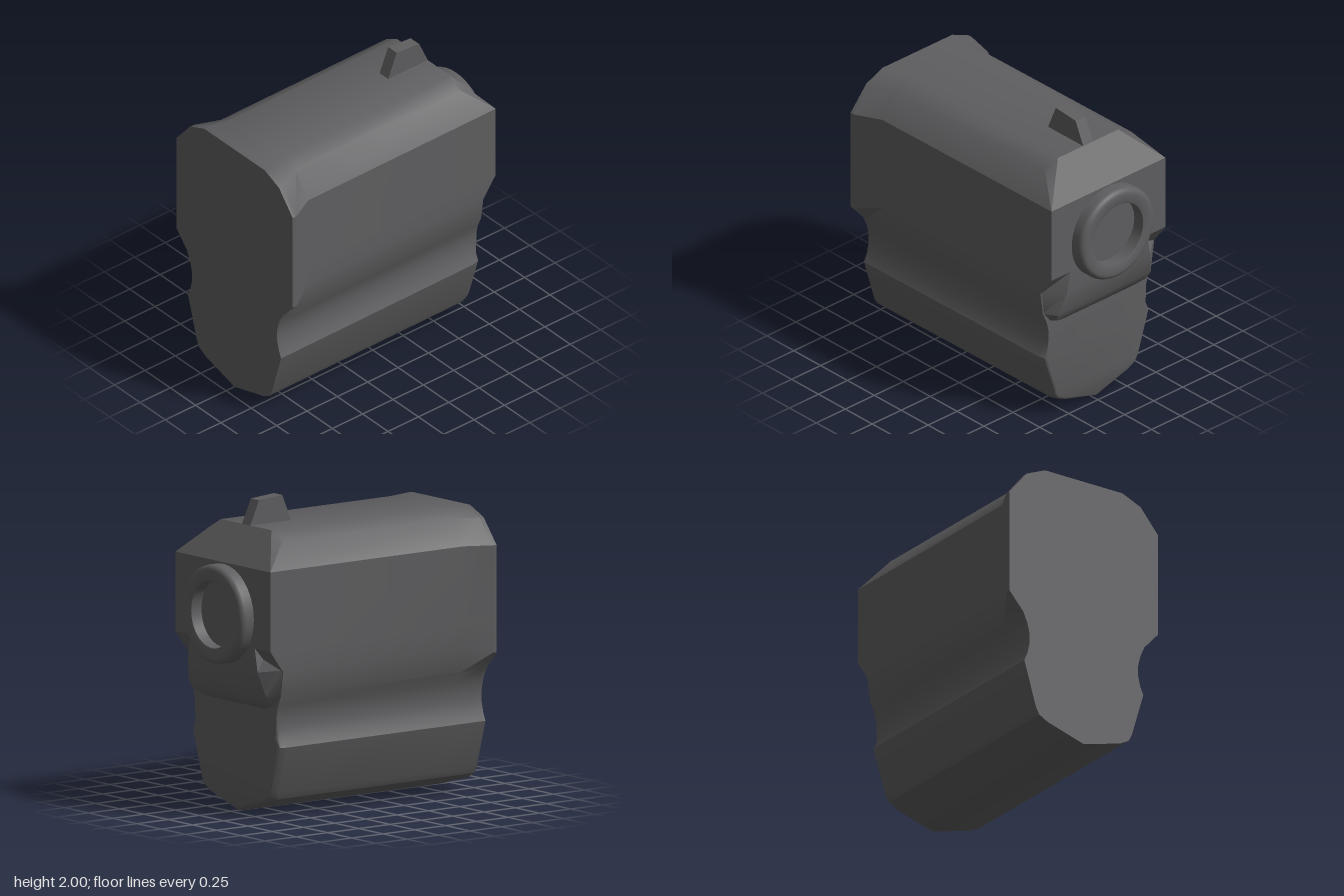
import * as THREE from 'three';
import { toCreasedNormals } from 'three/addons/utils/BufferGeometryUtils.js';

// Slight sideways drift of the body towards the muzzle
const drift = (x) => -0.011 * (x + 0.93);

// Loft mirrored half sections (each point [x, y, halfWidth], top to bottom) along +x.
// skip: row left out of the front cap and covered by small corner triangles.
function loft(sections, skip = -1) {
  const out = [];
  const L = (p) => new THREE.Vector3(p[0], p[1], p[2] + drift(p[0]));
  const R = (p) => new THREE.Vector3(p[0], p[1], -p[2] + drift(p[0]));
  const tri = (a, b, c) => {
    const n = b.clone().sub(a).cross(c.clone().sub(a));
    if (n.length() > 1e-7) out.push(...a.toArray(), ...b.toArray(), ...c.toArray());
  };
  const quad = (a, b, c, d) => { tri(a, b, d); tri(b, c, d); };
  const last = sections[0].length - 1;
  for (let s = 0; s < sections.length - 1; s++) {
    const A = sections[s], B = sections[s + 1];
    for (let i = 0; i < last; i++) {
      quad(L(A[i]), L(A[i + 1]), L(B[i + 1]), L(B[i]));
      quad(R(A[i + 1]), R(A[i]), R(B[i]), R(B[i + 1]));
    }
    quad(R(A[0]), L(A[0]), L(B[0]), R(B[0]));
    quad(L(A[last]), R(A[last]), R(B[last]), L(B[last]));
  }
  // End caps as strips between mirrored points
  const back = sections[0], front = sections[sections.length - 1];
  for (let i = 0; i < last; i++) {
    quad(R(back[i]), R(back[i + 1]), L(back[i + 1]), L(back[i]));
  }
  const rows = front.filter((_, i) => i !== skip);
  for (let i = 0; i < rows.length - 1; i++) {
    quad(L(rows[i]), L(rows[i + 1]), R(rows[i + 1]), R(rows[i]));
  }
  if (skip > 0) {
    const [a, b, c] = [front[skip - 1], front[skip], front[skip + 1]];
    tri(L(a), L(b), L(c));
    tri(R(c), R(b), R(a));
  }
  const geo = new THREE.BufferGeometry();
  geo.setAttribute('position', new THREE.Float32BufferAttribute(out, 3));
  return toCreasedNormals(geo, 0.56);
}

export function createModel() {
  const group = new THREE.Group();
  const grey = new THREE.MeshStandardMaterial({ color: 0x5e5e60 });
  grey.name = 'dark grey';
  const add = (name, geo) => {
    const mesh = new THREE.Mesh(geo, grey);
    mesh.name = name;
    group.add(mesh);
    return mesh;
  };

  // Half profile [halfWidth, y], from the top flat down to the keel
  const upper = [[0.26, 1.83], [0.37, 1.77], [0.49, 1.61], [0.49, 1.1], [0.49, 0.96]];
  const flare = [[0.3, 1.83], [0.44, 1.77], [0.575, 1.61], [0.575, 1.1], [0.575, 0.92]];
  const lower = [
    [0.468, 0.8], [0.437, 0.73], [0.42, 0.66], [0.42, 0.59], [0.436, 0.52], [0.46, 0.465],
    [0.37, 0.16], [0.345, 0.115], [0.28, 0.08], [0, 0],
  ];
  const profile = [...upper, ...lower];
  const at = (x, pts) => pts.map(([z, y]) => [x, y, z]);

  // Front end: bevelled top, flat muzzle face, set-back lower block with a rounded rim
  const frontX = [0.64, 0.64, 0.828, 0.828];
  const frontSection = (setBack, inset) => profile.map(([z, y], i) => {
    const x = (frontX[i] ?? 0.725) - setBack;
    if (i < 9) return [x, y, z];
    return [x, y + inset * (y < 0.4 ? 1 : 0), Math.max(0, z - inset * 0.8)];
  });

  add('body', loft([
    at(-0.93, [...flare, ...lower]),
    at(-0.9, [...flare, ...lower]),
    at(-0.73, profile),
    frontSection(0.06, 0),
    frontSection(0.025, 0.006),
    frontSection(0.007, 0.016),
    frontSection(0, 0.03),
  ], 1));

  // Chin under the muzzle, curving back into the lower block
  add('chin', loft([
    [[0.72, 1.1, 0.34], [0.72, 0.97, 0.487], [0.72, 0.8, 0.465], [0.72, 0.73, 0.41], [0.72, 0.7, 0.3]],
    [[0.829, 1.1, 0.33], [0.829, 0.95, 0.36], [0.79, 0.79, 0.4], [0.76, 0.735, 0.38], [0.726, 0.7, 0.3]],
  ]));

  // Muzzle ring with rounded outer rim and shallow recess
  const ring = [[0.318, 0], [0.318, 0.055]];
  for (let i = 1; i <= 6; i++) {
    const a = (i / 6) * Math.PI / 2;
    ring.push([0.278 + 0.04 * Math.cos(a), 0.055 + 0.04 * Math.sin(a)]);
  }
  ring.push([0.235, 0.095], [0.215, 0.088], [0.215, 0.006], [0, 0.006]);
  const ringGeo = new THREE.LatheGeometry(ring.map(([r, h]) => new THREE.Vector2(r, h)), 48);
  ringGeo.rotateZ(-Math.PI / 2);
  const flatRing = ringGeo.toNonIndexed();
  flatRing.deleteAttribute('normal');
  add('muzzleRing', toCreasedNormals(flatRing, 0.6)).position.set(0.828, 1.282, -0.021);

  // Front sight blade
  const blade = new THREE.Shape([[0.31, 1.82], [0.645, 1.82], [0.57, 1.985], [0.385, 2]]
    .map(([x, y]) => new THREE.Vector2(x, y)));
  const bladeGeo = new THREE.ExtrudeGeometry(blade, { depth: 0.085, bevelEnabled: false });
  add('frontSight', bladeGeo).position.z = -0.06;

  return group;
}
